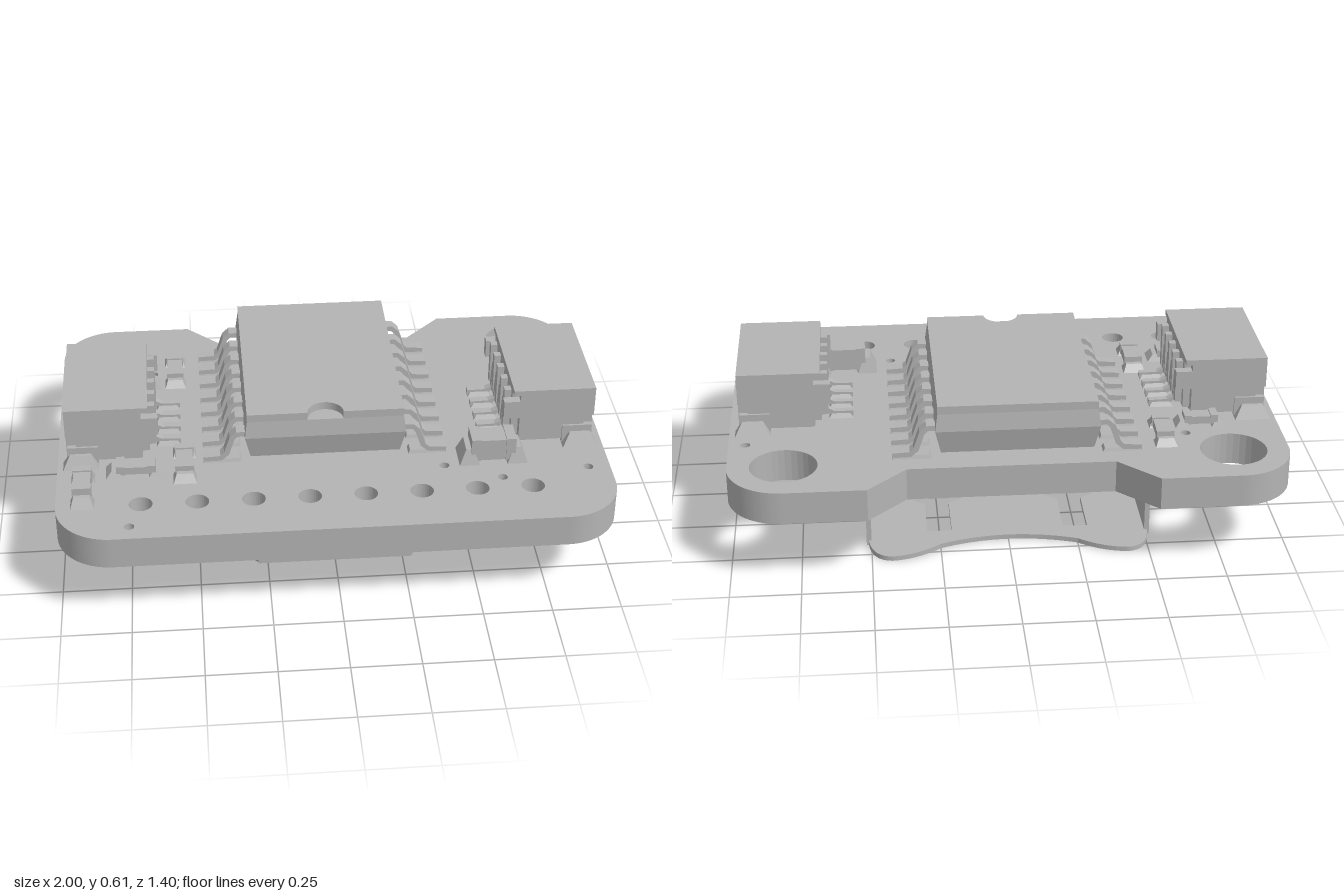
import * as THREE from 'three';

const grey = new THREE.MeshStandardMaterial({ color: 0xb4b4b4 });
grey.name = 'plain grey';

function add(parent, name, geo, x = 0, y = 0, z = 0) {
  const m = new THREE.Mesh(geo, grey);
  m.name = name;
  m.position.set(x, y, z);
  parent.add(m);
  return m;
}

// box given by its limits
function box(parent, name, x0, x1, y0, y1, z0, z1) {
  return add(parent, name, new THREE.BoxGeometry(x1 - x0, y1 - y0, z1 - z0), (x0 + x1) / 2, (y0 + y1) / 2, (z0 + z1) / 2);
}

// box standing on y = 0 whose top is scaled by sx, sz
function frustum(w, h, d, sx, sz) {
  const g = new THREE.BoxGeometry(w, h, d).translate(0, h / 2, 0);
  const p = g.attributes.position;
  for (let i = 0; i < p.count; i++) if (p.getY(i) > h / 2) p.setXYZ(i, p.getX(i) * sx, h, p.getZ(i) * sz);
  g.computeVertexNormals();
  return g;
}

// flat shape in (x, -z), extruded upwards
const slab = (shape, h) => new THREE.ExtrudeGeometry(shape, { depth: h, bevelEnabled: false, curveSegments: 16 }).rotateX(-Math.PI / 2);

// bent metal strip: polyline in (x, y) with thickness t, width w along z
function ribbon(pts, t, w) {
  const v = pts.map(p => new THREE.Vector2(...p));
  const side = s => v.map((p, i) => {
    const d = v[Math.min(i + 1, v.length - 1)].clone().sub(v[Math.max(i - 1, 0)]).normalize();
    return new THREE.Vector2(p.x - d.y * s * t / 2, p.y + d.x * s * t / 2);
  });
  const shape = new THREE.Shape([...side(1), ...side(-1).reverse()]);
  return new THREE.ExtrudeGeometry(shape, { depth: w, bevelEnabled: false }).translate(0, 0, -w / 2);
}

function circleHole(shape, x, z, r) {
  shape.holes.push(new THREE.Path().absarc(x, -z, r, 0, Math.PI * 2, true));
}

function buildBoard(root) {
  const s = new THREE.Shape(), q = Math.PI / 2;
  s.moveTo(-0.8, -0.7);
  s.absarc(0.8, -0.5, 0.2, -q, 0);
  s.absarc(0.8, 0.5, 0.2, 0, q);
  [[0.51, 0.7], [0.37, 0.56], [-0.37, 0.56], [-0.51, 0.7]].forEach(p => s.lineTo(...p));
  s.absarc(-0.8, 0.5, 0.2, q, 2 * q);
  s.absarc(-0.8, -0.5, 0.2, 2 * q, 3 * q);
  for (const x of [-0.8, 0.8]) circleHole(s, x, -0.5, 0.12);
  for (let i = 0; i < 8; i++) circleHole(s, -0.7 + i * 0.2, 0.5, 0.042);
  for (const [x, z] of [[-0.65, -0.36], [0.94, -0.33], [0.4, 0.35], [0.6, 0.44], [0.92, 0.4], [-0.74, 0.63]]) circleHole(s, x, z, 0.018);
  add(root, 'circuitBoard', slab(s, 0.12), 0, 0.255, 0);
}

function buildChip(root) {
  const g = new THREE.Group();
  g.name = 'chip';
  g.position.set(-0.027, 0, -0.11);
  root.add(g);
  const w = 0.585, d = 0.8;
  // lower half flares outwards, upper half narrows
  add(g, 'chipLowerBody', frustum(w - 0.04, 0.09, d - 0.04, w / (w - 0.04), d / (d - 0.04)), 0, 0.4, 0);
  add(g, 'chipUpperBody', frustum(w, 0.065, d, 0.97, 0.98), 0, 0.49, 0);
  const s = new THREE.Shape(), a = w * 0.485, b = d * 0.49;
  s.moveTo(-a, -b);
  s.lineTo(-0.065, -b);
  s.absarc(0, -b, 0.065, Math.PI, 0, true);
  [[a, -b], [a, b], [-a, b]].forEach(p => s.lineTo(...p));
  add(g, 'chipTopWithNotch', slab(s, 0.03), 0, 0.555, 0);
  // gull-wing pins with solder
  const pin = ribbon([[0.28, 0.492], [0.32, 0.492], [0.338, 0.475], [0.36, 0.41], [0.38, 0.392], [0.445, 0.388]], 0.02, 0.045);
  for (const side of [0, Math.PI]) {
    const row = new THREE.Group();
    row.name = 'pinRow';
    row.rotation.y = side;
    g.add(row);
    for (let i = 0; i < 8; i++) {
      const z = -0.35 + i * 0.1;
      add(row, 'pin', pin, 0, 0, z);
      add(row, 'pinSolder', frustum(0.14, 0.014, 0.05, 0.9, 0.8), 0.375, 0.374, z);
    }
  }
}

function buildConnector(root, turn) {
  const g = new THREE.Group();
  g.name = turn ? 'rightConnector' : 'leftConnector';
  g.rotation.y = turn;
  root.add(g);
  box(g, 'connectorRoof', 0.665, 0.965, 0.585, 0.605, -0.235, 0.235);
  box(g, 'connectorFloor', 0.69, 0.955, 0.385, 0.4, -0.2, 0.2);
  box(g, 'connectorBack', 0.665, 0.72, 0.4, 0.585, -0.2, 0.2);
  for (const s of [-1, 1]) {
    const span = (name, x0, x1, y0, y1, a, b) => box(g, name, x0, x1, y0, y1, Math.min(s * a, s * b), Math.max(s * a, s * b));
    span('connectorWall', 0.69, 0.965, 0.385, 0.585, 0.18, 0.212);
    span('connectorOuterWall', 0.69, 0.965, 0.49, 0.585, 0.212, 0.235);
    span('connectorLowerWall', 0.69, 0.93, 0.39, 0.49, 0.212, 0.232);
    span('connectorLatch', 0.63, 0.69, 0.49, 0.56, 0.2, 0.235);
    span('groundTab', 0.85, 0.96, 0.38, 0.45, 0.22, 0.24);
    add(g, 'groundSolder', frustum(0.13, 0.05, 0.06, 0.6, 0.25), 0.915, 0.374, s * 0.245);
  }
  // contacts: tail outside, blade inside
  for (let i = 0; i < 4; i++) {
    const z = -0.12 + i * 0.08;
    box(g, 'contactBlade', 0.71, 0.9, 0.51, 0.55, z - 0.008, z + 0.008);
    add(g, 'contactTail', ribbon([[0.55, 0.39], [0.62, 0.392], [0.65, 0.41], [0.655, 0.51], [0.68, 0.52]], 0.02, 0.025), 0, 0, z);
    add(g, 'contactSolder', frustum(0.09, 0.02, 0.045, 0.7, 0.5), 0.595, 0.374, z);
  }
  for (let i = 0; i < 5; i++) {
    const z = -0.16 + i * 0.08;
    box(g, 'connectorRib', 0.64, 0.67, 0.41, 0.575, z - 0.014, z + 0.014);
  }
}

// small surface-mounted part with end caps and solder
function buildPassive(root, name, x, z, len, w, h, along) {
  const g = new THREE.Group();
  g.name = name;
  g.position.set(x, 0.375, z);
  if (along) g.rotation.y = Math.PI / 2;
  root.add(g);
  const b = len * 0.65, cap = b * 0.22;
  box(g, 'componentBody', -b / 2 + cap, b / 2 - cap, 0.01, h - 0.006, -w * 0.36, w * 0.36);
  for (const s of [-1, 1]) {
    add(g, 'componentEnd', new THREE.BoxGeometry(cap, h - 0.01, w * 0.8), s * (b - cap) / 2, h / 2 + 0.005, 0);
    add(g, 'componentSolder', frustum(len * 0.3, h * 0.6, w, 0.35, 0.7), s * len * 0.35, -0.001, 0);
  }
}

function buildBatteryClip(root) {
  const g = new THREE.Group();
  g.name = 'batteryClip';
  root.add(g);
  // base plate with keyholes and plus-shaped cut-out
  const s = new THREE.Shape();
  s.moveTo(-0.28, -0.39);
  [[0.28, -0.39], [0.5, -0.135], [0.51, 0.43]].forEach(p => s.lineTo(...p));
  s.quadraticCurveTo(0.5, 0.55, 0.42, 0.55);
  s.quadraticCurveTo(0.33, 0.54, 0.25, 0.475);
  s.quadraticCurveTo(0, 0.38, -0.25, 0.475);
  s.quadraticCurveTo(-0.33, 0.54, -0.42, 0.55);
  s.quadraticCurveTo(-0.5, 0.55, -0.51, 0.43);
  s.lineTo(-0.5, -0.135);
  for (const x of [-0.25, 0.25]) {
    const a = Math.asin(0.045 / 0.13), k = new THREE.Path();
    k.absarc(x, 0.05, 0.13, Math.PI / 2 + a, Math.PI * 2.5 - a);
    [[x + 0.045, 0.38], [x - 0.045, 0.38]].forEach(p => k.lineTo(...p));
    k.closePath();
    s.holes.push(k);
    // spring finger rising towards the back
    const f = add(g, 'springFinger', ribbon([[-0.09, 0.01], [0.05, 0.03], [0.3, 0.14], [0.36, 0.15]], 0.015, 0.08), x, 0, 0);
    f.rotation.y = Math.PI / 2;
  }
  const l = 0.07, t = 0.014;
  s.holes.push(new THREE.Path([[-t, -l], [t, -l], [t, -t], [l, -t], [l, t], [t, t], [t, l], [-t, l], [-t, t], [-l, t], [-l, -t], [-t, -t]]
    .map(([x, y]) => new THREE.Vector2(x - 0.09, y - 0.18))));
  add(g, 'clipBase', slab(s, 0.018));
  // upturned front lip with chamfered corners
  const lip = new THREE.Shape([[-0.285, 0], [0.285, 0], [0.285, 0.15], [0.265, 0.17], [-0.265, 0.17], [-0.285, 0.15]].map(p => new THREE.Vector2(...p)));
  add(g, 'frontLip', new THREE.ExtrudeGeometry(lip, { depth: 0.018, bevelEnabled: false }), 0, 0.002, 0.375);
  for (const m of [-1, 1]) {
    const e = add(g, 'lipEdge', new THREE.BoxGeometry(0.05, 0.14, 0.016), m * 0.295, 0.085, 0.373);
    e.rotation.y = m * 0.6;
  }
  // side walls, drawn in (-z, y), with a filleted neck and a soldered foot
  const w = new THREE.Shape();
  w.moveTo(-0.135, 0);
  w.lineTo(0.43, 0);
  w.lineTo(0.43, 0.18);
  w.quadraticCurveTo(0.43, 0.2, 0.41, 0.2);
  w.lineTo(0.31, 0.2);
  w.quadraticCurveTo(0.27, 0.2, 0.27, 0.235);
  w.lineTo(0.27, 0.255);
  w.lineTo(0.03, 0.255);
  w.lineTo(0.03, 0.235);
  w.quadraticCurveTo(0.03, 0.2, -0.01, 0.2);
  w.lineTo(-0.115, 0.2);
  w.quadraticCurveTo(-0.135, 0.2, -0.135, 0.18);
  const wall = new THREE.ExtrudeGeometry(w, { depth: 0.018, bevelEnabled: false }).rotateY(Math.PI / 2);
  const foot = new THREE.Shape([[-0.12, -0.12], [0.13, -0.12], [0.13, 0.12], [-0.12, 0.12]].map(p => new THREE.Vector2(...p)));
  circleHole(foot, 0.01, 0, 0.045);
  for (const m of [-1, 1]) {
    add(g, 'clipWall', wall, m * 0.509 - 0.009, 0, 0);
    const f = add(g, 'clipFoot', slab(foot, 0.018), m * 0.62, 0.237, -0.15);
    if (m < 0) f.rotation.y = Math.PI;
  }
}

export function createModel() {
  const root = new THREE.Group();
  root.name = 'circuitModule';
  buildBoard(root);
  buildChip(root);
  buildConnector(root, 0);
  buildConnector(root, Math.PI);
  buildPassive(root, 'backResistor', -0.565, -0.36, 0.22, 0.08, 0.045, true);
  buildPassive(root, 'indicatorLight', -0.715, -0.285, 0.19, 0.075, 0.045, false);
  buildPassive(root, 'frontResistor', -0.715, 0.298, 0.22, 0.085, 0.045, false);
  buildPassive(root, 'middleCapacitor', -0.54, 0.275, 0.23, 0.085, 0.05, true);
  buildPassive(root, 'cornerCapacitor', -0.905, 0.41, 0.22, 0.085, 0.065, true);
  buildPassive(root, 'largeCapacitor', 0.58, 0.3, 0.25, 0.12, 0.1, false);
  buildBatteryClip(root);
  return root;
}
